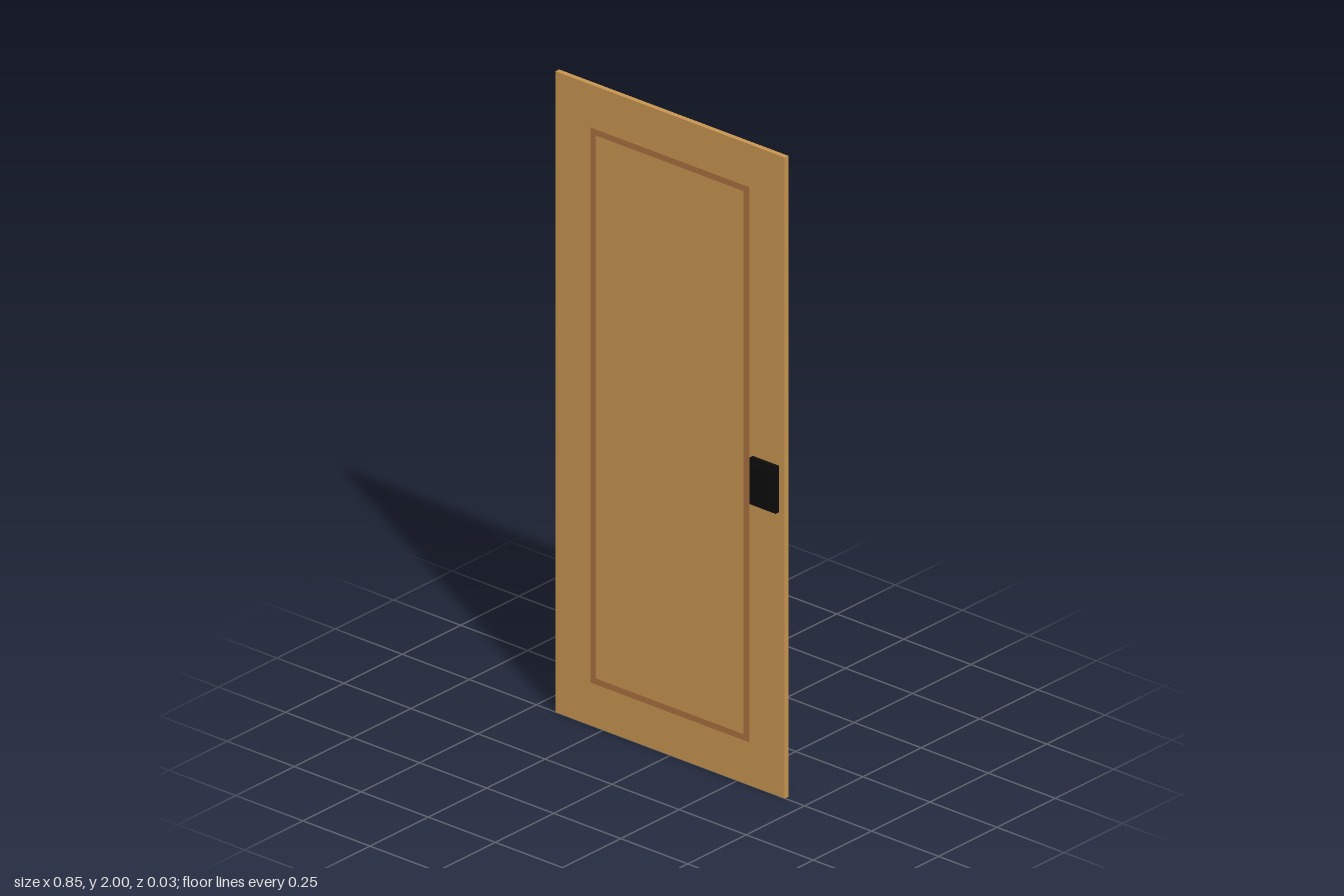
import * as THREE from 'three';

const wood = new THREE.MeshStandardMaterial({ color: 0xc6944f, name: 'wood' });
const trim = new THREE.MeshStandardMaterial({ color: 0xa66e40, name: 'darkWoodTrim' });
const black = new THREE.MeshStandardMaterial({ color: 0x0c0c0c, name: 'blackMetal' });

// Adds the corners of a rectangle to a shape or hole path
function rect(path, x0, y0, x1, y1) {
  path.moveTo(x0, y0);
  path.lineTo(x1, y0);
  path.lineTo(x1, y1);
  path.lineTo(x0, y1);
  path.closePath();
  return path;
}

// Extrudes an outline from z0 to z1
function plate(name, shape, z0, z1, material) {
  const geometry = new THREE.ExtrudeGeometry(shape, { depth: z1 - z0, bevelEnabled: false });
  const mesh = new THREE.Mesh(geometry, material);
  mesh.name = name;
  mesh.position.z = z0;
  return mesh;
}

export function createModel() {
  const door = new THREE.Group();
  door.name = 'door';

  // Door leaf
  const leaf = rect(new THREE.Shape(), -0.427, 0, 0.427, 2);
  door.add(plate('doorLeaf', leaf, -0.0145, 0.001, wood));

  // Thin rectangular moulding around the centre panel
  const moulding = rect(new THREE.Shape(), -0.295, 0.135, 0.295, 1.867);
  moulding.holes.push(rect(new THREE.Path(), -0.276, 0.154, 0.276, 1.848));
  door.add(plate('panelMoulding', moulding, 0.001, 0.003, trim));

  // Lock plate with a row of small slots along its top
  const lock = rect(new THREE.Shape(), 0.308, 0.886, 0.405, 1.032);
  for (let i = 0; i < 5; i++) {
    const x = 0.317 + i * 0.0175;
    lock.holes.push(rect(new THREE.Path(), x, 1.009, x + 0.009, 1.024));
  }
  door.add(plate('lockPlate', lock, 0.001, 0.0145, black));

  return door;
}
